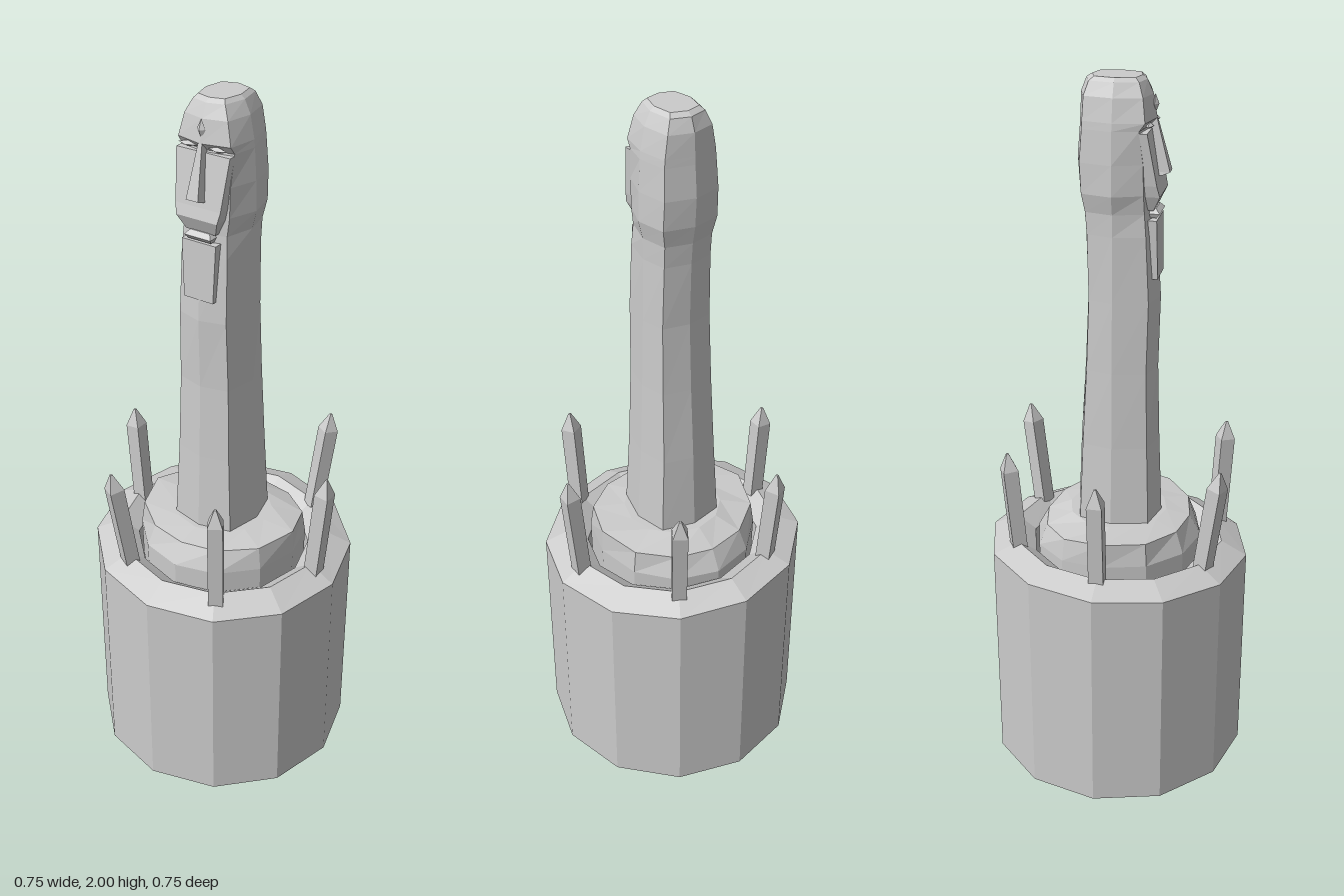
import * as THREE from 'three';

const material = new THREE.MeshStandardMaterial({ color: 0xcccccc, flatShading: true, side: THREE.DoubleSide });

// Skins a stack of rings, each a list of [x, y, z] running counter-clockwise from above
function loft(name, rings, capped = true) {
  const n = rings[0].length, positions = rings.flat(2), index = [];
  for (let i = 0; i < rings.length - 1; i++) {
    for (let j = 0; j < n; j++) {
      const a = i * n + j, b = i * n + (j + 1) % n;
      index.push(a, b, b + n, a, b + n, a + n);
    }
  }
  if (capped) {
    const top = (rings.length - 1) * n;
    for (let j = 1; j < n - 1; j++) index.push(0, j + 1, j, top, top + j, top + j + 1);
  }
  const g = new THREE.BufferGeometry();
  g.setAttribute('position', new THREE.Float32BufferAttribute(positions, 3));
  g.setIndex(index);
  const flat = g.toNonIndexed();
  flat.computeVertexNormals();
  const mesh = new THREE.Mesh(flat, material);
  mesh.name = name;
  return mesh;
}

// Ring of n points, with radius and height given as functions of the angle
const ring = (n, radius, height) => Array.from({ length: n }, (_, j) => {
  const t = j / n * Math.PI * 2, s = Math.sin(t), c = Math.cos(t);
  return [s * radius(s, c), height(s, c), c * radius(s, c)];
});

// Four-cornered ring: half width, height, back z, front z
const slab = (w, y, zb, zf) => [[-w, y, zf], [w, y, zf], [w, y, zb], [-w, y, zb]];

export function createModel() {
  const model = new THREE.Group();
  model.name = 'carvedPost';

  // Hollow twelve-sided tub with a raised, slightly uneven rim
  const tubProfile = [[0.25, 0.18, 0], [0.375, 0, 0], [0.375, 0.657, 1], [0.302, 0.692, 0.6], [0.25, 0.655, 0.6], [0.25, 0.18, 0]];
  model.add(loft('tub', tubProfile.map(([r, y, tilt]) =>
    ring(12, () => r, (s, c) => y - tilt * (0.015 * s + 0.012 * c))), false));

  // Twelve-sided plinth, bevelled more at the front and back than at the sides
  model.add(loft('plinth', [
    ring(12, () => 0.238, () => 0.58),
    ring(12, () => 0.24, (s, c) => 0.7 - 0.02 * Math.max(0, -c)),
    ring(12, (s, c) => 0.238 - 0.03 * Math.abs(c) ** 2, (s, c) => 0.77 - 0.03 * Math.max(0, -c) - 0.01 * Math.max(0, c)),
    ring(12, () => 0.14, () => 0.772),
  ]));

  // Eight-sided shaft and head: height, half width, front z, back z, front corner width
  const rows = [
    [0.6, 0.123, 0.125, 0.122, 0.8], [0.77, 0.117, 0.125, 0.116, 0.8],
    [1.0, 0.104, 0.116, 0.106, 0.8], [1.22, 0.097, 0.11, 0.092, 0.8],
    [1.42, 0.092, 0.115, 0.083, 0.8], [1.6, 0.088, 0.104, 0.088, 0.8],
    [1.66, 0.089, 0.098, 0.093, 0.75], [1.71, 0.101, 0.096, 0.103, 0.72],
    [1.79, 0.099, 0.094, 0.108, 0.75], [1.875, 0.094, 0.082, 0.101, 0.85],
    [1.895, 0.092, 0.1, 0.1, 0.85], [1.955, 0.08, 0.09, 0.097, 0.8],
    [1.99, 0.063, 0.074, 0.083, 0.75], [2.0, 0.052, 0.062, 0.068, 0.75],
  ];
  model.add(loft('shaftAndHead', rows.map(([y, w, f, b, k]) => [
    [0, y, f], [k * w, y, 0.82 * f], [w, y, 0], [0.8 * w, y, -0.8 * b],
    [0, y, -b], [-0.8 * w, y, -0.8 * b], [-w, y, 0], [-k * w, y, 0.82 * f],
  ])));

  // Face carving
  const face = new THREE.Group();
  face.name = 'face';
  face.add(loft('jaw', [slab(0.045, 1.665, 0.03, 0.1), slab(0.062, 1.705, 0.03, 0.119),
    slab(0.068, 1.735, 0.03, 0.112), slab(0.08, 1.87, 0.03, 0.088)]));
  face.add(loft('lips', [slab(0.035, 1.643, 0.05, 0.106), slab(0.04, 1.655, 0.05, 0.116), slab(0.03, 1.667, 0.05, 0.104)]));
  face.add(loft('beard', [slab(0.045, 1.48, 0.04, 0.113), slab(0.052, 1.64, 0.04, 0.11)]));
  face.add(loft('nose', [slab(0.02, 1.752, 0.07, 0.117), slab(0.018, 1.76, 0.07, 0.137), slab(0.006, 1.895, 0.07, 0.1)]));
  // Small faceted lozenges for the eyes and the forehead mark
  const lozenge = (name, x, y, z, sx, sy, sz) => {
    const m = new THREE.Mesh(new THREE.OctahedronGeometry(1), material);
    m.name = name;
    m.position.set(x, y, z);
    m.scale.set(sx, sy, sz);
    face.add(m);
  };
  lozenge('leftEye', 0.045, 1.884, 0.088, 0.028, 0.008, 0.012);
  lozenge('rightEye', -0.045, 1.884, 0.088, 0.028, 0.008, 0.012);
  lozenge('foreheadMark', 0, 1.93, 0.094, 0.013, 0.026, 0.01);
  model.add(face);

  // Leaning stakes around the rim: tip x, tip z, outward lean per unit of height
  const stakes = [
    [0.34, 0, 0.09], [0.17, 0.285, 0.06], [-0.158, 0.31, 0.15],
    [-0.315, 0, 0.07], [-0.158, -0.282, 0.08], [0.174, -0.302, 0.15],
  ];
  stakes.forEach(([x, z, lean], i) => {
    const stake = loft('stake' + (i + 1), [
      slab(0.02, -0.83, -0.02, 0.02), slab(0.021, -0.05, -0.021, 0.021), slab(0.003, 0, -0.003, 0.003),
    ]);
    const angle = Math.atan2(x, z);
    stake.rotation.set(Math.atan(lean), angle, 0, 'YXZ');
    stake.position.set(x, 0.985, z);
    model.add(stake);
  });
  return model;
}
